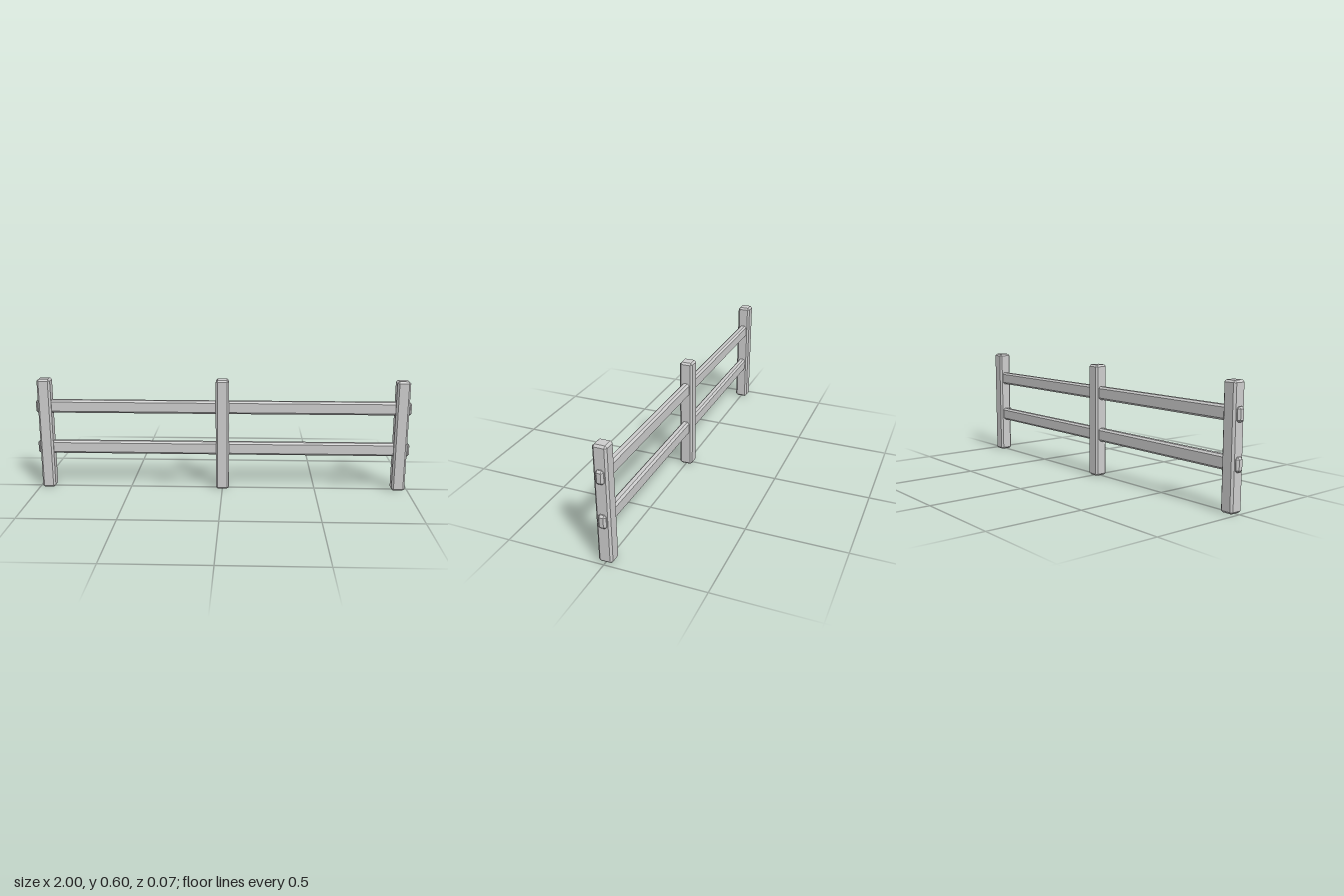
import * as THREE from 'three';
import { ConvexGeometry } from 'three/addons/geometries/ConvexGeometry.js';

// Box with a flat chamfer on every edge and corner
function chamferedBox(width, height, depth, bevel) {
  const x = width / 2, y = height / 2, z = depth / 2;
  const points = [];
  for (const sx of [-1, 1]) for (const sy of [-1, 1]) for (const sz of [-1, 1]) {
    points.push(
      new THREE.Vector3(sx * x, sy * (y - bevel), sz * (z - bevel)),
      new THREE.Vector3(sx * (x - bevel), sy * y, sz * (z - bevel)),
      new THREE.Vector3(sx * (x - bevel), sy * (y - bevel), sz * z)
    );
  }
  return new ConvexGeometry(points);
}

export function createModel() {
  const fence = new THREE.Group();
  fence.name = 'fence';
  const paint = new THREE.MeshStandardMaterial({ color: 0xcccccc });
  paint.name = 'light grey';

  const add = (name, geometry, x, y) => {
    const mesh = new THREE.Mesh(geometry, paint);
    mesh.name = name;
    mesh.position.set(x, y, 0);
    fence.add(mesh);
  };

  // Three upright posts
  const post = chamferedBox(0.07, 0.6, 0.07, 0.01);
  add('rightPost', post, -0.95, 0.3);
  add('middlePost', post, 0, 0.3);
  add('leftPost', post, 0.95, 0.3);

  // Two rails running through the posts, their ends just showing
  const rail = chamferedBox(2, 0.07, 0.04, 0.01);
  add('lowerRail', rail, 0, 0.225);
  add('upperRail', rail, 0, 0.45);

  return fence;
}
